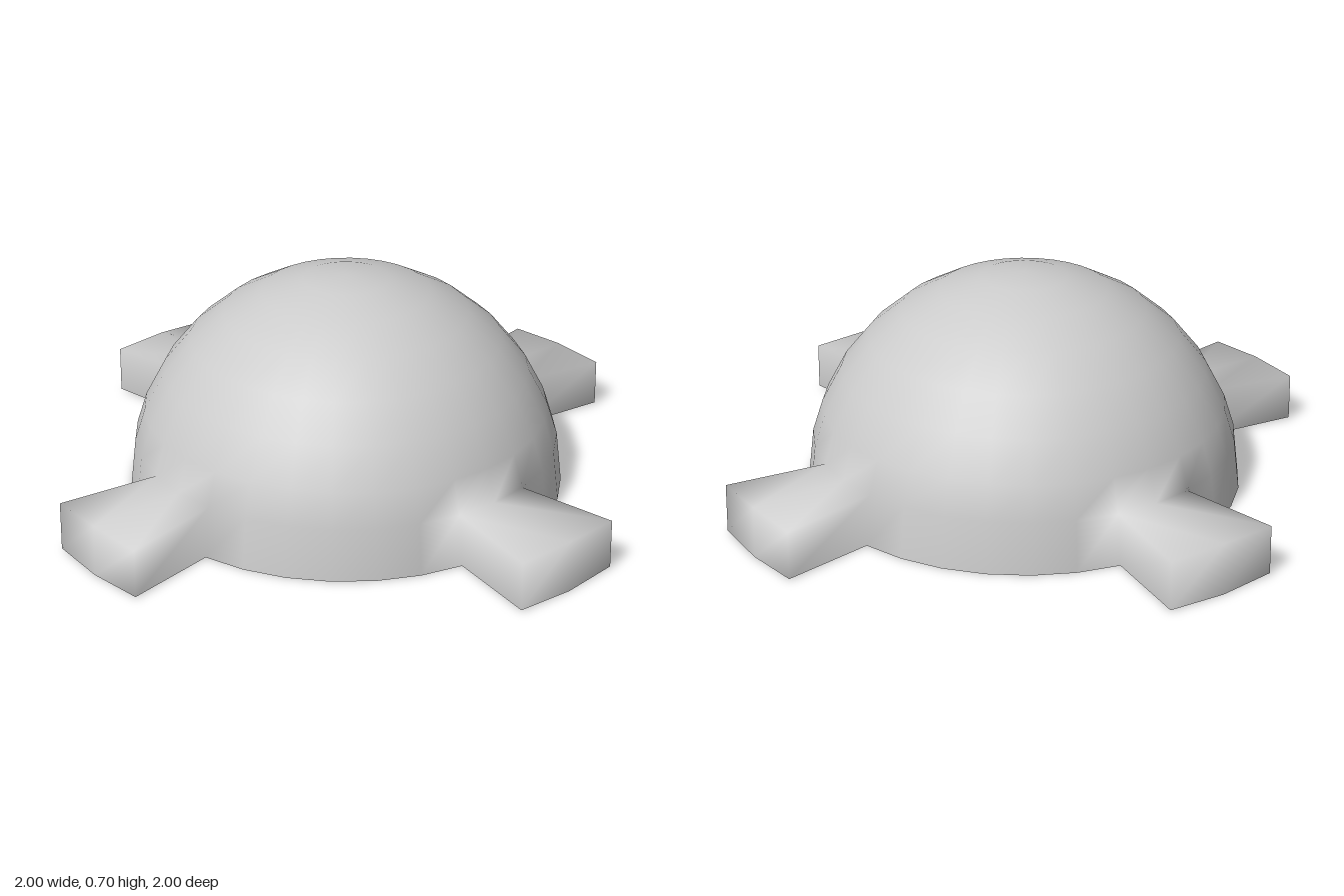
import * as THREE from 'three';

const SEG = 32, ROWS = 8, R = 0.7;

export function createModel() {
  const group = new THREE.Group();
  group.name = 'domeShelter';
  const material = new THREE.MeshStandardMaterial({ color: 0xcccccc, side: THREE.DoubleSide });

  const positions = [];
  const addPoint = (x, y, z) => positions.push(x, y, z) / 3 - 1;
  const quad = (list, a, b, c, d) => list.push(a, b, c, a, c, d);

  // Hemisphere rings; the lowest band is a little taller, to match the porches
  for (let j = 0; j < ROWS; j++) {
    const e = j === 1 ? Math.asin(0.165 / R) : (j / ROWS) * Math.PI / 2;
    for (let i = 0; i < SEG; i++) {
      const a = (i / SEG) * Math.PI * 2;
      addPoint(R * Math.cos(e) * Math.sin(a), R * Math.sin(e), R * Math.cos(e) * Math.cos(a));
    }
  }
  const pole = addPoint(0, R, 0);
  const id = (i, j) => (j === ROWS ? pole : j * SEG + (i + SEG) % SEG);

  // Dome faces, leaving out two base panels on each of the four sides
  const dome = [];
  for (let j = 0; j < ROWS; j++) {
    for (let i = 0; i < SEG; i++) {
      const opening = j === 0 && [0, 7].includes(i % 8);
      if (opening) continue;
      if (j === ROWS - 1) dome.push(id(i, j), id(i + 1, j), pole);
      else quad(dome, id(i, j), id(i + 1, j), id(i + 1, j + 1), id(i, j + 1));
    }
  }
  const parts = [['dome', dome]];

  // Flared porches: hollow, open underneath, closed at the outer end
  ['front', 'left', 'back', 'right'].forEach((side, k) => {
    const c = k * SEG / 4, turn = k * Math.PI / 2;
    const root = [id(c - 1, 0), id(c - 1, 1), id(c, 1), id(c + 1, 1), id(c + 1, 0)];
    const place = (x, y, z) => addPoint(
      x * Math.cos(turn) + z * Math.sin(turn), y, z * Math.cos(turn) - x * Math.sin(turn));
    const end = [[-0.19, 0.005, 0.988], [-0.19, 0.16, 0.985], [0, 0.165, 0.995],
      [0.19, 0.16, 0.985], [0.19, 0.005, 0.988]].map(p => place(...p));
    const sill = place(0, 0, 1);
    const faces = [];
    for (let n = 0; n < 4; n++) quad(faces, root[n], end[n], end[n + 1], root[n + 1]);
    quad(faces, end[0], sill, end[2], end[1]);
    quad(faces, sill, end[4], end[3], end[2]);
    parts.push([side + 'Porch', faces]);
  });

  // Normals are computed over the whole shell so the parts blend smoothly
  const shell = new THREE.BufferGeometry();
  shell.setAttribute('position', new THREE.Float32BufferAttribute(positions, 3));
  shell.setIndex(parts.flatMap(p => p[1]));
  shell.computeVertexNormals();

  for (const [name, faces] of parts) {
    const geometry = new THREE.BufferGeometry();
    geometry.setAttribute('position', shell.attributes.position);
    geometry.setAttribute('normal', shell.attributes.normal);
    geometry.setIndex(faces);
    const mesh = new THREE.Mesh(geometry, material);
    mesh.name = name;
    group.add(mesh);
  }
  return group;
}
